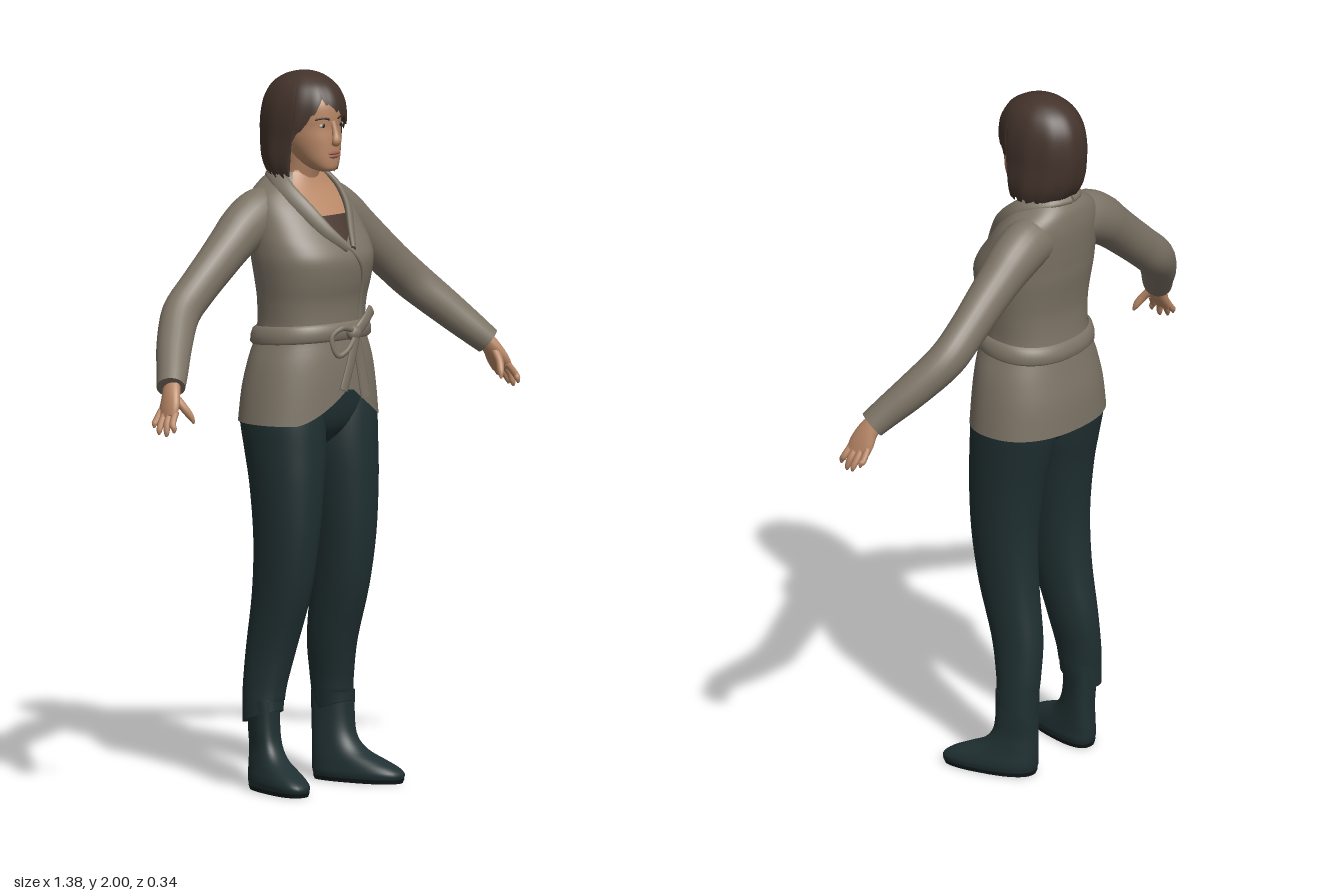
import * as THREE from 'three';

const mat = (name, color, side = THREE.FrontSide) => {
  const m = new THREE.MeshStandardMaterial({ color, side });
  m.name = name;
  return m;
};

// Skin a list of point rings (closed loops or open strips) into one smooth surface
function skinRings(rings, closed = true, caps = true) {
  const n = rings[0].length, pos = [], idx = [];
  rings.forEach(r => r.forEach(p => pos.push(p.x, p.y, p.z)));
  for (let i = 0; i < rings.length - 1; i++)
    for (let j = 0; j < (closed ? n : n - 1); j++) {
      const a = i * n + j, b = i * n + (j + 1) % n;
      idx.push(a, b, a + n, b, b + n, a + n);
    }
  if (closed && caps) [rings[0], rings[rings.length - 1]].forEach((ring, end) => {
    const base = pos.length / 3, c = new THREE.Vector3();
    ring.forEach(p => { pos.push(p.x, p.y, p.z); c.addScaledVector(p, 1 / n); });
    pos.push(c.x, c.y, c.z);
    for (let j = 0; j < n; j++) {
      const a = base + j, b = base + (j + 1) % n;
      end ? idx.push(a, b, base + n) : idx.push(b, a, base + n);
    }
  });
  const g = new THREE.BufferGeometry();
  g.setAttribute('position', new THREE.Float32BufferAttribute(pos, 3));
  g.setIndex(idx);
  g.computeVertexNormals();
  return g;
}

// Catmull-Rom interpolation of number rows
function smooth(rows, k = 4) {
  const out = [], at = i => rows[Math.max(0, Math.min(rows.length - 1, i))];
  for (let i = 0; i < rows.length - 1; i++)
    for (let s = 0; s < k; s++) {
      const t = s / k;
      out.push(rows[i].map((_, c) => {
        const p0 = at(i - 1)[c], p1 = at(i)[c], p2 = at(i + 1)[c], p3 = at(i + 2)[c];
        return 0.5 * (2 * p1 + (p2 - p0) * t + (2 * p0 - 5 * p1 + 4 * p2 - p3) * t * t + (3 * p1 - p0 - 3 * p2 + p3) * t * t * t);
      }));
    }
  out.push(rows[rows.length - 1]);
  return out;
}

// Horizontal section: [y, centre x, half width, front z, back z]
const spow = (v, e) => Math.sign(v) * Math.abs(v) ** e;
function section([y, cx, rx, zf, zb], n = 2.3, segs = 40, grow = 0) {
  return Array.from({ length: segs }, (_, j) => {
    const a = j / segs * Math.PI * 2;
    return new THREE.Vector3(cx + (rx + grow) * spow(Math.sin(a), 2 / n), y,
      (zf + zb) / 2 + ((zf - zb) / 2 + grow) * spow(Math.cos(a), 2 / n));
  });
}
function rowAt(rows, y) {
  let i = 0;
  while (i < rows.length - 2 && rows[i + 1][0] < y) i++;
  const t = THREE.MathUtils.clamp((y - rows[i][0]) / (rows[i + 1][0] - rows[i][0]), 0, 1);
  return rows[i].map((v, c) => v + (rows[i + 1][c] - v) * t);
}
// Depth of the front of a body at a given x, y
function frontZ(rows, x, y, n = 2.3) {
  const [, cx, rx, zf, zb] = rowAt(rows, y);
  const q = Math.min(1, Math.abs((x - cx) / rx));
  return (zf + zb) / 2 + (zf - zb) / 2 * (1 - q ** n) ** (1 / n);
}

// Sweep an ellipse along rows [x, y, z, width radius, thickness radius]; hint gives the thickness direction
function sweep(rows, hint, segs = 16, k = 4) {
  const d = smooth(rows, k), P = d.map(r => new THREE.Vector3(r[0], r[1], r[2]));
  return skinRings(d.map((r, i) => {
    const t = P[Math.min(i + 1, P.length - 1)].clone().sub(P[Math.max(i - 1, 0)]).normalize();
    const B = hint(P[i]).clone();
    B.addScaledVector(t, -B.dot(t)).normalize();
    const A = t.clone().cross(B);
    return Array.from({ length: segs }, (_, j) => {
      const a = j / segs * Math.PI * 2;
      return P[i].clone().addScaledVector(A, r[3] * Math.sin(a)).addScaledVector(B, r[4] * Math.cos(a));
    });
  }));
}

export function createModel() {
  const root = new THREE.Group();
  root.name = 'woman';
  const skin = mat('skin', 0xb98867, THREE.DoubleSide), jacket = mat('jacket cloth', 0x7d7466, THREE.DoubleSide);
  const trousers = mat('trouser cloth', 0x203032), soleMat = mat('sole', 0x131b1c);
  const hairMat = mat('hair', 0x43332b, THREE.DoubleSide), shirt = mat('undershirt', 0x46362d, THREE.DoubleSide);
  const lip = mat('lips', 0x98604e), white = mat('eye white', 0xb5aaa0), iris = mat('iris', 0x2b2320);
  const add = (name, geo, m) => {
    const mesh = new THREE.Mesh(geo, m);
    mesh.name = name;
    root.add(mesh);
    return mesh;
  };
  const blob = (name, m, p, s) => {
    const b = add(name, new THREE.SphereGeometry(1, 16, 12), m);
    b.position.set(...p);
    b.scale.set(...s);
  };
  const Z = new THREE.Vector3(0, 0, 1), toZ = () => Z;

  // Jacket body with the hem cut away at the front
  const torso = smooth([
    [1.03, 0, .215, .137, -.17], [1.12, 0, .203, .135, -.165], [1.2, 0, .186, .13, -.15], [1.28, 0, .158, .122, -.135],
    [1.36, 0, .161, .124, -.13], [1.42, 0, .17, .138, -.136], [1.48, 0, .178, .145, -.146], [1.52, 0, .178, .13, -.15],
    [1.56, 0, .175, .102, -.154], [1.62, 0, .165, .06, -.158], [1.66, 0, .145, .026, -.155], [1.69, 0, .108, .006, -.147],
    [1.72, 0, .066, -.008, -.125]]);
  const body = torso.map(r => section(r, 2.3, 80));
  body.forEach(ring => ring.forEach(p => {
    if (p.y >= 1.28 || p.z < 0) return;
    const lift = .1 * Math.max(0, 1 - Math.abs(p.x - .01) / .17) ** 1.3;
    p.y += lift * (1.28 - p.y) / .25;
  }));
  add('jacketBody', skinRings(body, true, false), jacket);
  const onBody = (x, y, off) => [x, y, frontZ(torso, x, y) + off];

  // Neck opening: bare chest and undershirt following the body
  const patch = (rows, off) => skinRings(smooth(rows).map(([y, w]) => Array.from({ length: 13 }, (_, j) =>
    new THREE.Vector3(...onBody(w * (j / 6 - 1), y, off)))), false);
  add('chest', patch([[1.53, .002], [1.56, .034], [1.6, .062], [1.66, .08], [1.69, .072], [1.725, .05]], .004), skin);
  add('undershirt', patch([[1.53, .002], [1.56, .034], [1.585, .053], [1.605, .058]], .007), shirt);

  // Shawl collar from the wrap point round the back of the neck
  const collarHint = p => p.clone().sub(new THREE.Vector3(0, 1.62, -.06));
  for (const s of [1, -1]) add('collar', sweep([
    [...onBody(s * .01 + .012, 1.515, .006), .012, .007], [...onBody(s * .045, 1.56, .006), .02, .01],
    [...onBody(s * .08, 1.62, .006), .024, .011], [s * .096, 1.67, .0, .025, .011],
    [s * .086, 1.703, -.05, .025, .011], [s * .052, 1.716, -.105, .024, .011], [0, 1.718, -.125, .024, .011]], collarHint), jacket);
  add('wrapEdge', sweep([[0, 1.535], [.035, 1.49], [.06, 1.44], [.07, 1.36], [.072, 1.29]]
    .map(([x, y]) => [...onBody(x, y, .001), .007, .005]), toZ, 8), jacket);

  // Belt, knot, bow and hanging tails
  add('belt', skinRings([[1.25, .004], [1.257, .012], [1.275, .015], [1.293, .012], [1.3, .003]].map(([y, g]) => {
    const ring = section(rowAt(torso, y), 2.3, 60, g);
    ring.forEach(p => { p.y += p.z * .08; });
    return ring;
  }), true, false), jacket);
  blob('beltKnot', jacket, [.015, 1.28, .147], [.024, .022, .018]);
  const ribbon = (name, pts, w) => add(name, sweep(pts.map(p => [...p, w, .006]), toZ, 10), jacket);
  ribbon('bowEnd', [[.015, 1.275, .15], [.055, 1.308, .148], [.1, 1.335, .13]], .016);
  ribbon('bowLoop', [[.015, 1.285, .152], [-.035, 1.3, .155], [-.07, 1.275, .145], [-.055, 1.225, .152], [-.02, 1.235, .156], [.012, 1.272, .156]], .008);
  ribbon('beltTail', [[.015, 1.275, .152], [.035, 1.2, .153], [.05, 1.1, .158]], .018);
  ribbon('beltTail', [[.015, 1.275, .156], [-.008, 1.2, .157], [-.035, 1.125, .156]], .015);

  // Hips
  add('hips', skinRings(smooth([[.95, 0, .03, .03, -.06], [1, 0, .12, .085, -.11], [1.06, 0, .192, .108, -.14],
    [1.14, 0, .18, .112, -.14]]).map(r => section(r))), trousers);

  for (const s of [1, -1]) {
    const side = s > 0 ? 'left' : 'right';
    const flip = r => [r[0], s * r[1], r[2], r[3], r[4]];
    // Trouser leg
    add(side + 'Leg', skinRings(smooth([
      [.205, .139, .05, .004, -.116], [.25, .135, .052, .005, -.118], [.3, .13, .053, .012, -.121], [.4, .119, .059, .036, -.118],
      [.55, .114, .067, .083, -.098], [.7, .112, .077, .108, -.09], [.85, .107, .09, .116, -.104], [.95, .102, .1, .115, -.125],
      [1.04, .102, .103, .11, -.142], [1.1, .1, .095, .1, -.135]]).map(r => {
      const ring = section(flip(r), 2.2);
      if (r[0] < .25) ring.forEach(p => { p.y += (p.z + .05) * .35; });
      return ring;
    })), trousers);
    // Boot, toes turned out
    const foot = (rows, grow = 0) => skinRings(rows.map(r => {
      const ring = section(flip(r), 2.5, 40, grow);
      ring.forEach(p => { p.x += s * p.z * .25; });
      return ring;
    }));
    add(side + 'Boot', foot(smooth([
      [.008, .15, .054, .152, -.102], [.025, .15, .058, .156, -.107], [.042, .15, .056, .138, -.108], [.06, .149, .052, .1, -.108],
      [.085, .148, .047, .045, -.107], [.12, .147, .043, .012, -.106], [.17, .149, .043, .0, -.108], [.25, .15, .045, -.002, -.11]])), trousers);
    add(side + 'Sole', foot([[0, .15, .052, .151, -.102], [.012, .15, .056, .156, -.106]]), soleMat);

    // Sleeve
    const X = rows => rows.map(r => [s * r[0], ...r.slice(1)]);
    add(side + 'Sleeve', sweep(X([
      [.07, 1.61, -.08, .07, .064], [.13, 1.602, -.08, .075, .068], [.19, 1.572, -.08, .071, .066], [.24, 1.535, -.078, .064, .061],
      [.3, 1.487, -.075, .06, .056], [.38, 1.422, -.072, .057, .052], [.455, 1.36, -.062, .056, .052], [.53, 1.285, -.012, .05, .05],
      [.59, 1.22, .04, .043, .044], [.622, 1.186, .066, .038, .041]]), toZ, 24), jacket);
    // Hand
    const palmHint = () => new THREE.Vector3(s * .85, .45, -.15);
    add(side + 'Palm', sweep(X([[.605, 1.205, .053, .026, .02], [.628, 1.17, .073, .031, .02], [.645, 1.135, .083, .038, .017],
      [.658, 1.108, .088, .036, .011]]), palmHint), skin);
    [1.078, 1.062, 1.058, 1.07].forEach((tip, i) => {
      const k = -.029 + i * .019, x = .686 - Math.abs(i - 1) * .005;
      add(side + 'Finger', sweep(X([[.65, 1.125, .086 + k, .009, .009], [.672, 1.095, .09 + k * 1.15, .0095, .009],
        [x - .002, tip + .012, .095 + k * 1.25, .008, .008], [x, tip, .096 + k * 1.25, .003, .003]]), palmHint, 10), skin);
    });
    add(side + 'Thumb', sweep(X([[.628, 1.165, .085, .012, .012], [.62, 1.135, .113, .012, .011], [.608, 1.108, .13, .01, .009],
      [.603, 1.09, .137, .003, .003]]), palmHint, 10), skin);
  }

  // Neck and head
  add('neck', skinRings(smooth([[1.64, 0, .06, -.01, -.12], [1.7, 0, .051, .004, -.108], [1.74, 0, .048, .018, -.1],
    [1.79, 0, .05, .03, -.1]]).map(r => section(r, 2))), skin);
  const head = smooth([
    [1.726, 0, .018, .07, .03], [1.734, 0, .034, .082, .0], [1.757, 0, .051, .086, -.04], [1.79, 0, .064, .086, -.08],
    [1.82, 0, .072, .085, -.11], [1.85, 0, .076, .082, -.13], [1.88, 0, .078, .084, -.14], [1.92, 0, .076, .078, -.14],
    [1.96, 0, .058, .045, -.11]]);
  add('head', skinRings(head.map(r => section(r, 2.2))), skin);
  const onFace = (x, y, off) => [x, y, frontZ(head, x, y, 2.2) + off];

  // Face
  add('nose', sweep([[0, 1.868, .08, .007, .006], [0, 1.835, .089, .009, .009], [0, 1.814, .095, .015, .011],
    [0, 1.803, .088, .012, .008]], toZ, 14), skin);
  blob('upperLip', lip, onFace(0, 1.779, -.001), [.023, .005, .006]);
  blob('lowerLip', lip, onFace(0, 1.77, -.001), [.019, .006, .006]);
  for (const s of [1, -1]) {
    blob('eye', white, onFace(s * .033, 1.857, -.001), [.014, .006, .004]);
    blob('iris', iris, onFace(s * .033, 1.857, .001), [.006, .0058, .0035]);
    add('eyebrow', sweep([.016, .034, .052].map((x, i) => [...onFace(s * x, 1.874 + (i === 1) * .004, .001), .003, .002]), toZ, 8), hairMat);
  }

  // Bobbed hair with a side-swept fringe
  const cap = smooth([
    [1.7, 0, .092, .055, -.115], [1.72, 0, .104, .065, -.135], [1.76, 0, .11, .08, -.156], [1.82, 0, .107, .09, -.167],
    [1.87, 0, .106, .097, -.168], [1.92, 0, .098, .093, -.158], [1.96, 0, .08, .07, -.132], [1.985, 0, .053, .034, -.095],
    [1.996, 0, .028, .0, -.06], [2, 0, 0, -.03, -.03]], 6);
  const cols = 144, steps = 30;
  const hairEnd = a => {
    const jag = .006 * Math.sin(a * 23) + .004 * Math.sin(a * 41);
    if (Math.abs(a) > 1.14) return 1.714 + jag;
    const base = a > -.44 ? 1.93 - .095 * ((a + .44) / 1.5) ** .85 : 1.93 - .1 * (-.44 - a) / .6;
    return base + jag * .6;
  };
  const hairRings = Array.from({ length: steps + 1 }, (_, i) => Array.from({ length: cols }, (_, j) => {
    const a = (j / cols - .5) * Math.PI * 2, t = 1 - i / steps;
    const y = 2 - (2 - hairEnd(a)) * t ** 1.7;
    const [, , rx, zf, zb] = rowAt(cap, y), wave = 1 + .012 * t * Math.sin(a * 11 + 2 * t);
    return new THREE.Vector3(rx * wave * Math.sin(a), y, (zf + zb) / 2 + (zf - zb) / 2 * wave * Math.cos(a));
  }));
  add('hair', skinRings(hairRings, true, false), hairMat);

  return root;
}
